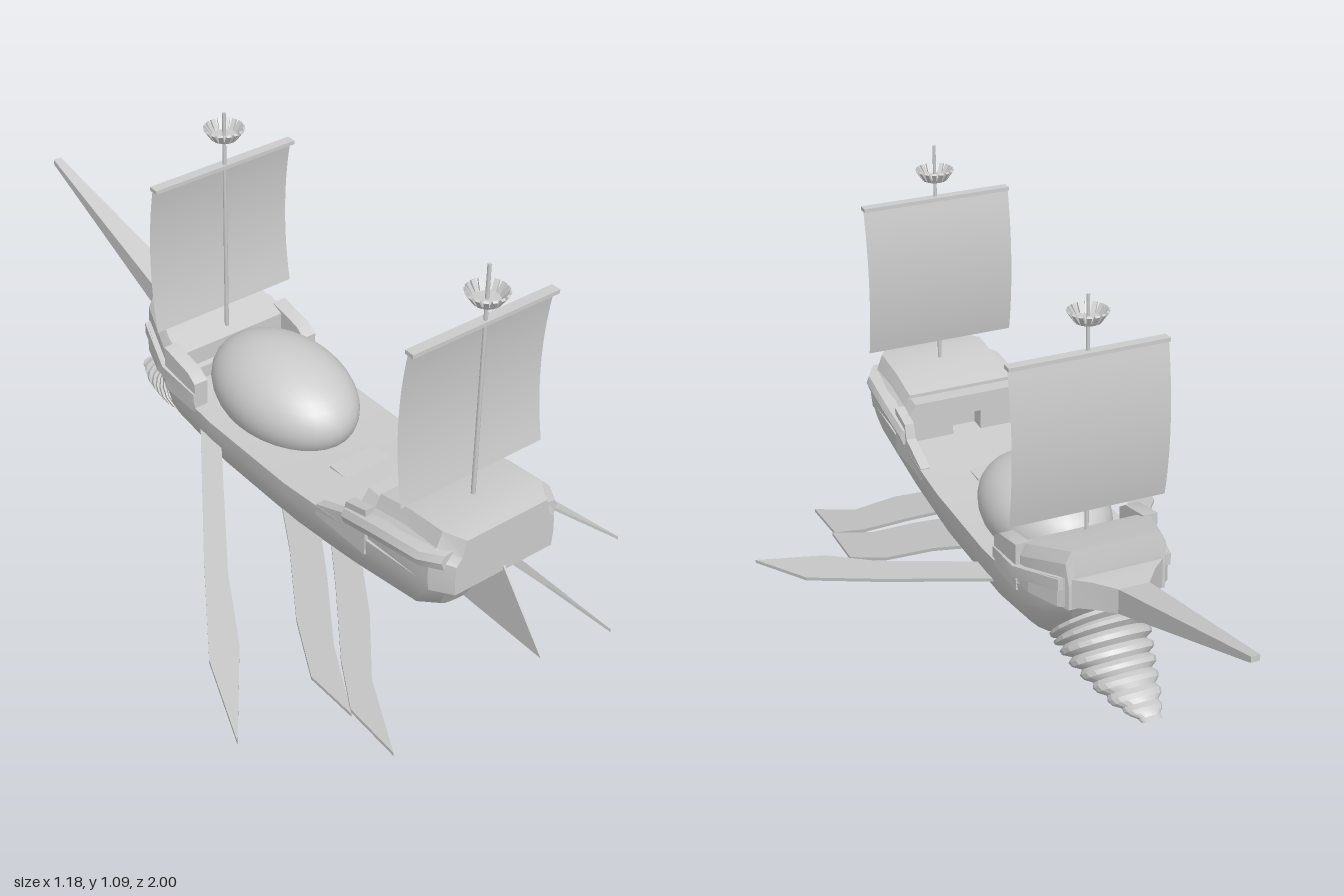
import * as THREE from 'three';
import { toCreasedNormals } from 'three/addons/utils/BufferGeometryUtils.js';

const mat = new THREE.MeshStandardMaterial({ color: 0xcccccc });
const flat = new THREE.MeshStandardMaterial({ color: 0xcccccc, flatShading: true });
const thin = new THREE.MeshStandardMaterial({ color: 0xcccccc, side: THREE.DoubleSide });

// Skin closed rings of [x, y, z] points, cap both ends, face outward
function loft(rings, crease = 0.5) {
  const n = rings[0].length, pos = rings.flat(2), idx = [];
  for (let i = 0; i < rings.length - 1; i++)
    for (let j = 0; j < n; j++) {
      const a = i * n + j, b = i * n + (j + 1) % n;
      idx.push(a, b, a + n, b, b + n, a + n);
    }
  [0, rings.length - 1].forEach((r) => {
    const c = pos.length / 3;
    for (let k = 0; k < 3; k++) pos.push(rings[r].reduce((s, p) => s + p[k], 0) / n);
    for (let j = 0; j < n; j++) {
      const a = r * n + j, b = r * n + (j + 1) % n;
      idx.push(...(r ? [a, b, c] : [b, a, c]));
    }
  });
  // signed volume decides the winding
  let vol = 0;
  const v = (i) => new THREE.Vector3().fromArray(pos, i * 3);
  for (let i = 0; i < idx.length; i += 3) vol += v(idx[i]).dot(v(idx[i + 1]).cross(v(idx[i + 2])));
  if (vol < 0) idx.reverse();
  const g = new THREE.BufferGeometry();
  g.setAttribute('position', new THREE.Float32BufferAttribute(pos, 3));
  g.setIndex(idx);
  return toCreasedNormals(g, crease);
}

// Mirror a half outline [x, y] into a full ring at z
const mirrorRing = (half, z) => [
  ...half.map(([x, y]) => [x, y, z]),
  ...half.slice().reverse().map(([x, y]) => [-x, y, z]),
];
const rectRing = (x0, x1, y0, y1, z) => [[x0, y0, z], [x1, y0, z], [x1, y1, z], [x0, y1, z]];

export function createModel() {
  const root = new THREE.Group();
  const ship = new THREE.Group();
  ship.name = 'ship';
  ship.position.x = 0.01;
  root.add(ship);
  const add = (name, geo, x = 0, y = 0, z = 0, m = mat, parent = ship) => {
    const mesh = new THREE.Mesh(geo, m);
    mesh.name = name;
    mesh.position.set(x, y, z);
    parent.add(mesh);
    return mesh;
  };

  // Hull: half-ellipse stations [z at rail, z at keel, half width, keel y, rail y]
  const stations = [
    [0.855, 0.74, 0.145, 0.2, 0.385], [0.81, 0.68, 0.178, 0.172, 0.375],
    [0.55, 0.5, 0.188, 0.138, 0.36], [0.3, 0.3, 0.19, 0.113, 0.335],
    [0, 0, 0.19, 0.112, 0.33], [-0.2, -0.17, 0.185, 0.14, 0.34],
    [-0.3, -0.22, 0.155, 0.165, 0.35], [-0.37, -0.26, 0.11, 0.2, 0.36],
  ];
  add('hull', loft(stations.map(([zt, zb, w, k, r]) =>
    Array.from({ length: 19 }, (_, i) => {
      const a = Math.PI * i / 18, s = Math.sin(a);
      return [w * Math.cos(a), r - (r - k) * s, zt + (zb - zt) * s];
    }))));

  // Deck hatch
  add('hatch', new THREE.BoxGeometry(0.135, 0.012, 0.13), 0, 0.337, 0.385);

  // Stern castle: [z, width factor, eave y, roof y]
  add('sternCastle', loft([
    [0.86, 0.8, 0.44, 0.503], [0.81, 1, 0.45, 0.51], [0.7, 1, 0.445, 0.5], [0.6, 1, 0.425, 0.477],
  ].map(([z, f, e, t]) => mirrorRing(
    [[0.178 * f, 0.36], [0.182 * f, 0.4], [0.18 * f, e], [0.16 * f, e + 0.02], [0.145 * f, t]], z)), 0.3));

  // Castle front wall with a doorway
  const wall = new THREE.Shape([
    [-0.17, 0.33], [-0.04, 0.33], [-0.04, 0.415], [0.04, 0.415], [0.04, 0.33],
    [0.17, 0.33], [0.17, 0.43], [0.145, 0.468], [-0.145, 0.468], [-0.17, 0.43],
  ].map((p) => new THREE.Vector2(...p)));
  add('doorWall', new THREE.ExtrudeGeometry(wall, { depth: 0.045, bevelEnabled: false }), 0, 0, 0.557);

  for (const s of [1, -1]) {
    // Stern bulwark and its swelling side rail
    add('sternBulwark', loft([[0.6, 0.45], [0.53, 0.43], [0.52, 0.39], [0.42, 0.35]].map(
      ([z, t]) => rectRing(s * 0.162, s * 0.188, 0.32, t, z))));
    add('sternRail', loft([[0.84, 0.15, 0.45], [0.79, 0.18, 0.445], [0.65, 0.186, 0.425], [0.53, 0.182, 0.395]].map(
      ([z, x, y]) => [[-0.02, -0.025], [0.012, -0.022], [0.02, 0], [0.012, 0.018], [-0.02, 0.022]].map(
        ([dx, dy]) => [s * (x + dx), y + dy, z]))));
    // Bow bulwark wing beside the egg
    add('bowBulwark', loft([[-0.07, 0.405], [-0.1, 0.425], [-0.2, 0.445]].map(
      ([z, t]) => rectRing(s * 0.15, s * 0.188, 0.32, t, z))));
    add('bowRail', loft([[-0.07, 0.18, 0.36], [-0.2, 0.185, 0.375], [-0.35, 0.135, 0.405]].map(
      ([z, x, y]) => rectRing(s * (x - 0.02), s * (x + 0.012), y - 0.015, y + 0.015, z))));
  }

  // Bow castle
  add('bowCastle', loft([[-0.165, 0.18, 0.43], [-0.22, 0.175, 0.45], [-0.355, 0.13, 0.49], [-0.365, 0.125, 0.43]].map(
    ([z, w, t]) => mirrorRing([[w, 0.34], [w, t - 0.03], [w - 0.015, t]], z)), 0.3));

  // Beak and ram spike: [z, half width, bottom, top]
  add('ramSpike', loft([
    [-0.15, 0.188, 0.345, 0.38], [-0.25, 0.178, 0.34, 0.4], [-0.34, 0.145, 0.342, 0.42],
    [-0.4, 0.08, 0.35, 0.422], [-0.45, 0.04, 0.357, 0.422], [-1, 0.011, 0.54, 0.555],
  ].map(([z, w, b, t]) => rectRing(-w, w, b, t, z)), 0.2));

  // Ridged horn under the bow: [top z, top y, bottom z, bottom y, half width]
  const horn = [
    [-0.35, 0.315, -0.19, 0.15, 0.125], [-0.37, 0.27, -0.215, 0.135, 0.118], [-0.405, 0.22, -0.28, 0.125, 0.105],
    [-0.45, 0.185, -0.36, 0.108, 0.085], [-0.51, 0.152, -0.45, 0.1, 0.06], [-0.57, 0.125, -0.54, 0.105, 0.025],
  ];
  const hornRings = [], steps = 24;
  for (let i = 0; i <= steps; i++) {
    const u = i / steps * (horn.length - 1), k = Math.min(Math.floor(u), horn.length - 2);
    const [tz, ty, bz, by, w] = horn[k].map((a, c) => a + (horn[k + 1][c] - a) * (u - k));
    const f = i % 3 === 2 ? 0.86 : 1.02;
    hornRings.push(Array.from({ length: 20 }, (_, j) => {
      const a = j / 20 * Math.PI * 2, c = Math.cos(a) * f / 2;
      return [w * f * Math.sin(a), (ty + by) / 2 + (ty - by) * c, (tz + bz) / 2 + (tz - bz) * c];
    }));
  }
  add('horn', loft(hornRings, 0.3));

  // Egg-shaped dome on the deck
  add('dome', new THREE.SphereGeometry(1, 32, 20), 0, 0.38, 0.05).scale.set(0.155, 0.125, 0.228);

  // Rudder
  const fin = new THREE.Shape([[0.72, 0.2], [1, 0.2], [0.85, 0.385]].map((p) => new THREE.Vector2(...p)));
  const rudder = new THREE.ExtrudeGeometry(fin, { depth: 0.006, bevelEnabled: false });
  add('rudder', rudder.rotateY(-Math.PI / 2), 0.003);

  // Masts with curved sails, yards and slatted lookouts
  function mast(name, z, bottom, top, sailLow, sailHigh, nestY) {
    const g = new THREE.Group();
    g.name = name;
    g.position.z = z;
    ship.add(g);
    add('pole', new THREE.CylinderGeometry(0.0045, 0.0055, top - bottom, 8), 0, (top + bottom) / 2, 0, mat, g);
    const h = sailHigh - sailLow;
    const sail = new THREE.PlaneGeometry(0.41, h, 1, 12), p = sail.attributes.position;
    for (let i = 0; i < p.count; i++) {
      const t = p.getY(i) / h * 2;
      p.setZ(i, -0.007 - 0.021 * (1 - t * t));
    }
    sail.computeVertexNormals();
    add('sail', sail, 0, (sailLow + sailHigh) / 2, 0, thin, g);
    add('yard', new THREE.BoxGeometry(0.41, 0.01, 0.026), 0, sailHigh, -0.004, mat, g);
    add('lookoutFloor', new THREE.CylinderGeometry(0.036, 0.03, 0.008, 16), 0, nestY - 0.012, 0, flat, g);
    for (let i = 0; i < 16; i++) {
      const arm = new THREE.Group();
      arm.name = 'lookoutSlat';
      arm.rotation.y = i / 16 * Math.PI * 2;
      g.add(arm);
      add('slat', new THREE.BoxGeometry(0.006, 0.032, 0.011), 0.039, nestY, 0, mat, arm).rotation.z = -0.6;
    }
  }
  mast('sternMast', 0.745, 0.48, 1.11, 0.555, 0.965, 1.032);
  mast('bowMast', -0.195, 0.4, 1.05, 0.495, 0.905, 0.998);

  // Oar blades: outline in [x, z], height falling along x; [outline, centre x, y at start, slope]
  const oars = [
    [[[0.17, -0.06], [0.38, 0.25], [0.515, 0.46], [0.59, 0.675], [0.45, 0.49], [0.36, 0.32], [0.17, 0.03]], 0, 0.262, 0.56],
    [[[0.14, 0.22], [0.195, 0.33], [0.28, 0.47], [0.335, 0.6], [0.335, 0.75], [0.27, 0.6], [0.19, 0.47], [0.14, 0.38]], 0.01, 0.205, 0.97],
    [[[0.14, 0.42], [0.195, 0.51], [0.28, 0.64], [0.33, 0.74], [0.335, 0.9], [0.27, 0.74], [0.19, 0.63], [0.14, 0.54]], 0.01, 0.205, 0.97],
  ];
  for (const [outline, cx, y0, slope] of oars)
    for (const s of [1, -1]) {
      const layer = (dy) => outline.map(([x, z]) => [s * x, y0 - slope * (x - outline[0][0]) + dy, z]);
      add(s > 0 ? 'leftOar' : 'rightOar', loft([layer(0), layer(0.009)], 0.2), cx, 0, 0, mat, root);
    }
  return root;
}
